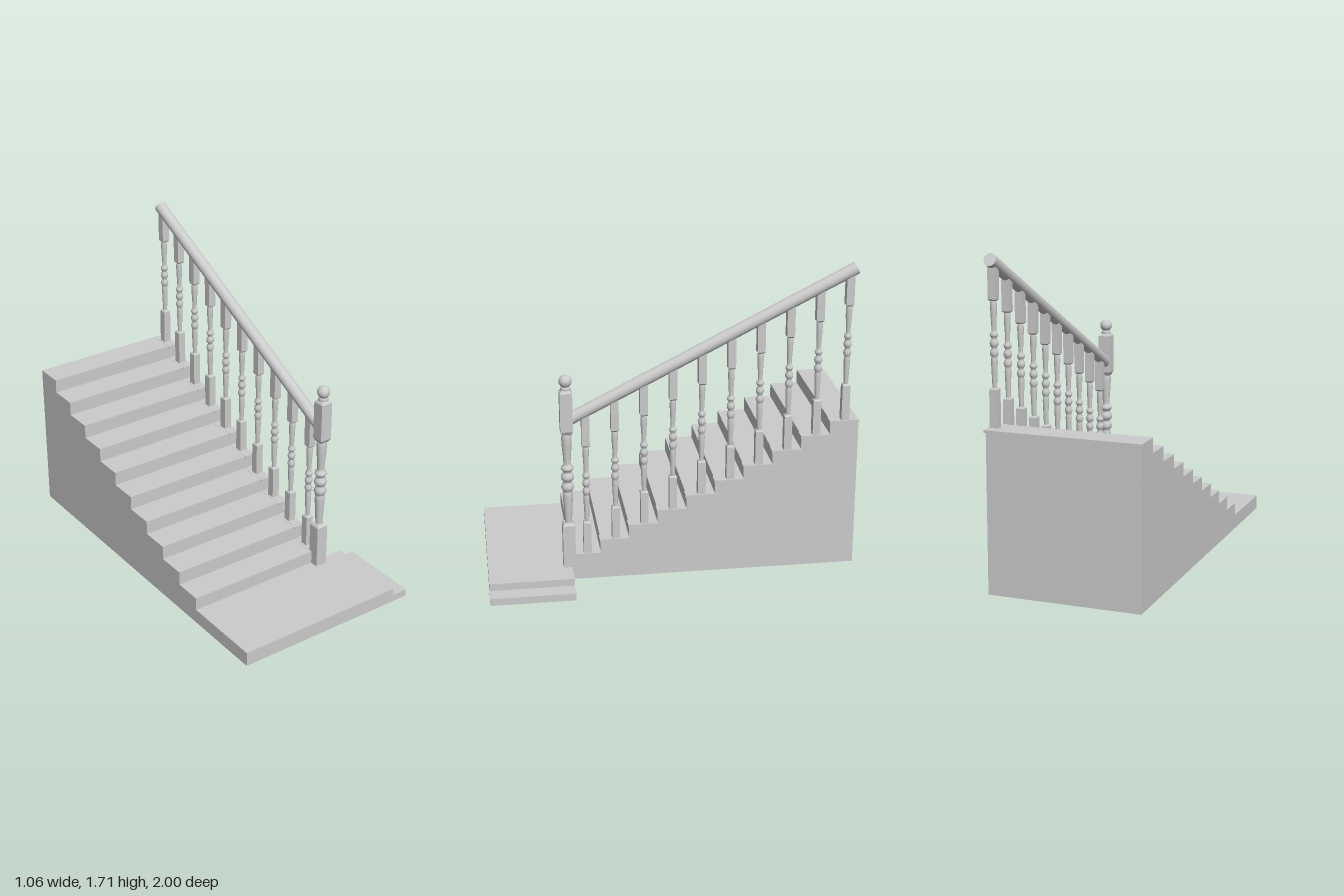
import * as THREE from 'three';

const mat = new THREE.MeshStandardMaterial({ color: 0xcccccc });
const STEPS = 10, GOING = 0.155, RISE = 0.0768;
const FRONT = 0.55, FIRST_TOP = 0.152, POST_X = 0.268;

function add(parent, name, geometry, x = 0, y = 0, z = 0) {
  const mesh = new THREE.Mesh(geometry, mat);
  mesh.name = name;
  mesh.position.set(x, y, z);
  parent.add(mesh);
  return mesh;
}

// box given by its limits
function slab(parent, name, x0, x1, y0, y1, z0, z1) {
  return add(parent, name, new THREE.BoxGeometry(x1 - x0, y1 - y0, z1 - z0),
    (x0 + x1) / 2, (y0 + y1) / 2, (z0 + z1) / 2);
}

// square section of a post, with optional chamfered ends
function squareBlock(parent, name, half, y0, y1, chamferBottom, chamferTop) {
  const a = y0 + chamferBottom, b = y1 - chamferTop;
  slab(parent, name, -half, half, a, b, -half, half);
  const taper = (rTop, rBottom, h, y) => {
    const g = new THREE.CylinderGeometry(rTop * Math.SQRT2, rBottom * Math.SQRT2, h, 4).toNonIndexed();
    g.rotateY(Math.PI / 4);
    g.computeVertexNormals();
    add(parent, name + 'Chamfer', g, 0, y, 0);
  };
  if (chamferBottom) taper(half, half * 0.68, chamferBottom, y0 + chamferBottom / 2);
  if (chamferTop) taper(half * 0.68, half, chamferTop, y1 - chamferTop / 2);
}

// turned profile: [radius, height], as fractions of the block half width and the turned length
const TURNING = [
  [0.55, 0], [0.58, 0.04], [0.72, 0.2], [0.8, 0.3], [0.76, 0.34], [0.62, 0.355],
  [0.85, 0.37], [1.03, 0.4], [0.85, 0.435], [0.62, 0.45],
  [0.66, 0.47], [0.92, 0.485], [1.03, 0.51], [0.92, 0.54], [0.62, 0.56],
  [0.66, 0.58], [0.9, 0.595], [1, 0.61], [0.9, 0.63], [0.6, 0.645],
  [0.56, 0.67], [0.64, 0.76], [0.76, 0.86], [0.82, 0.94], [0.76, 0.98], [0.66, 1],
];
function turned(parent, name, half, y0, y1) {
  const pts = TURNING.map(([r, t]) => new THREE.Vector2(r * half, y0 + t * (y1 - y0)));
  add(parent, name, new THREE.LatheGeometry(pts, 20));
}

export function createModel() {
  const model = new THREE.Group();
  model.name = 'staircase';

  // stepped landing at the foot
  slab(model, 'lowerLanding', -0.53, 0.53, 0, 0.04, FRONT, 1);
  slab(model, 'upperLanding', -0.53, 0.44, 0.04, 0.08, FRONT, 1);

  // solid flight, a side profile extruded across its width
  const side = new THREE.Shape();
  side.moveTo(-FRONT, 0);
  for (let i = 0; i < STEPS; i++) {
    const z = FRONT - i * GOING, y = FIRST_TOP + i * RISE;
    side.lineTo(-z, y);
    side.lineTo(i === STEPS - 1 ? 1 : -(z - GOING), y);
  }
  side.lineTo(1, 0);
  side.closePath();
  const flight = new THREE.ExtrudeGeometry(side, { depth: 0.815, bevelEnabled: false });
  flight.rotateY(Math.PI / 2);
  add(model, 'flight', flight, -0.53, 0, 0);

  // small return nosings along the open side
  for (let i = 0; i < STEPS; i++) {
    const z = FRONT - i * GOING, y = FIRST_TOP + i * RISE;
    slab(model, 'treadNosing', 0.235, 0.297, y - 0.013, y + 0.001,
      i === STEPS - 1 ? -1 : z - GOING, z + 0.005);
  }

  // sloping handrail
  const railY = (z) => 0.93 + 0.503 * (0.53 - z);
  const start = new THREE.Vector3(POST_X, railY(0.563), 0.563);
  const end = new THREE.Vector3(POST_X, railY(-0.957), -0.957);
  const dir = end.clone().sub(start);
  const rail = add(model, 'handrail', new THREE.CylinderGeometry(0.033, 0.033, dir.length(), 32));
  rail.position.copy(start).add(end).multiplyScalar(0.5);
  rail.quaternion.setFromUnitVectors(new THREE.Vector3(0, 1, 0), dir.normalize());

  // balusters, one on each tread
  for (let i = 0; i < STEPS; i++) {
    const z = 0.464 - i * 0.1543, base = FIRST_TOP + i * RISE;
    const y0 = 0.335 + i * 0.0789, y1 = y0 + 0.429;
    const baluster = new THREE.Group();
    baluster.name = 'baluster';
    baluster.position.set(POST_X, 0, z);
    squareBlock(baluster, 'balusterFoot', 0.021, base, y0, 0, 0.008);
    turned(baluster, 'balusterTurning', 0.021, y0, y1);
    squareBlock(baluster, 'balusterHead', 0.021, y1, railY(z) - 0.012, 0.008, 0);
    model.add(baluster);
  }

  // newel post with a ball finial
  const newel = new THREE.Group();
  newel.name = 'newelPost';
  newel.position.set(POST_X, 0, 0.563);
  squareBlock(newel, 'newelFoot', 0.033, 0.075, 0.335, 0, 0.014);
  turned(newel, 'newelTurning', 0.034, 0.335, 0.845);
  squareBlock(newel, 'newelHead', 0.033, 0.84, 1.087, 0.02, 0.014);
  const finial = [[0.022, 1.08], [0.027, 1.09], [0.024, 1.1], [0.021, 1.103]];
  for (let i = 0; i <= 12; i++) {
    const a = -0.9 + (i / 12) * (Math.PI / 2 + 0.9);
    finial.push([Math.max(0, 0.034 * Math.cos(a)), 1.133 + 0.034 * Math.sin(a)]);
  }
  add(newel, 'finial', new THREE.LatheGeometry(finial.map(([r, y]) => new THREE.Vector2(r, y)), 24));
  model.add(newel);

  return model;
}
